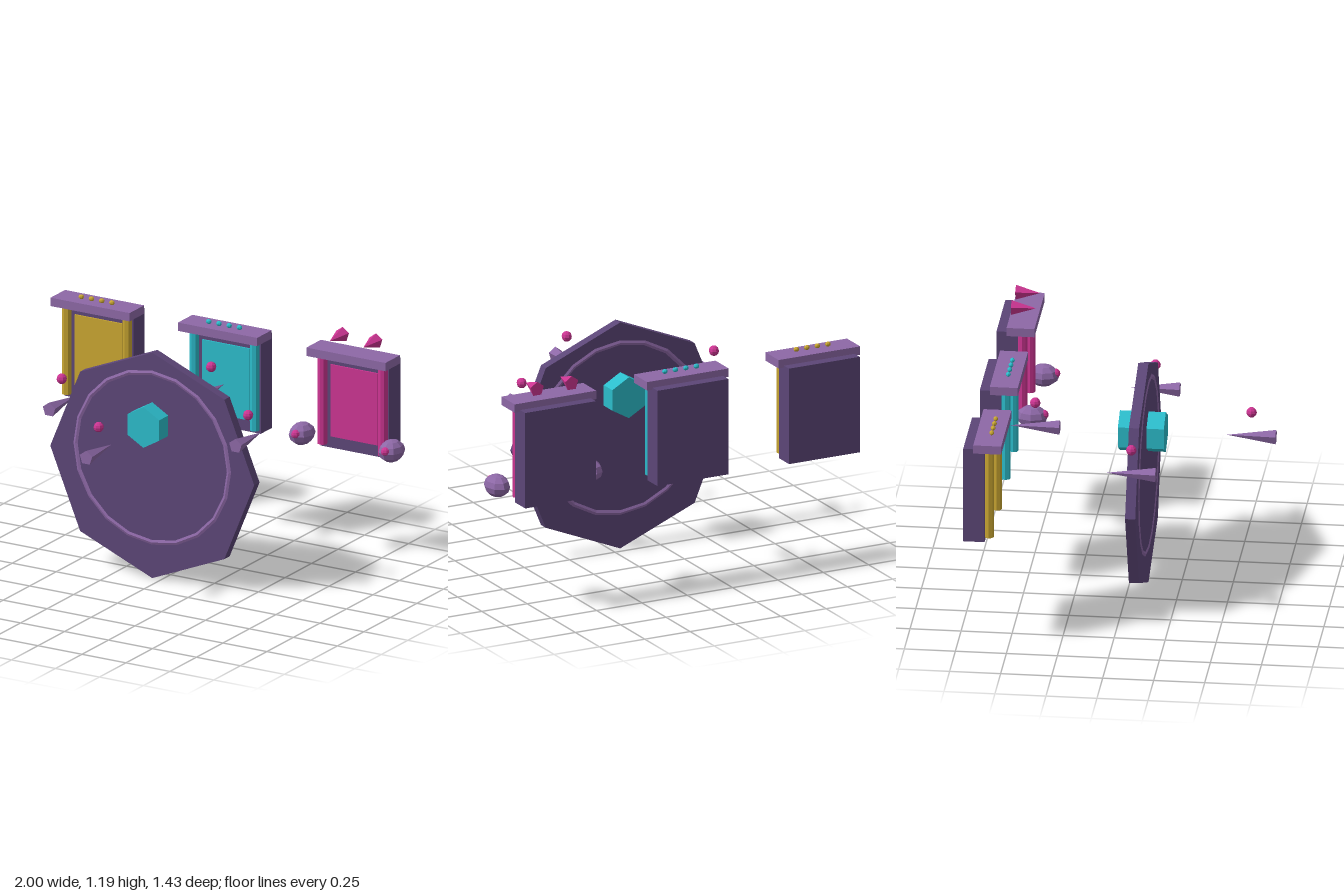
import * as THREE from 'three';

const mat = (name, color) => {
  const m = new THREE.MeshStandardMaterial({ color, flatShading: true });
  m.name = name;
  return m;
};

export function createModel() {
  const dark = mat('dark purple', 0x5c4677);
  const light = mat('light purple', 0x8d68a6);
  const cyan = mat('cyan', 0x2cbccb);
  const magenta = mat('magenta', 0xcc3592);
  const gold = mat('gold', 0xc9a632);

  const model = new THREE.Group();
  model.name = 'portalArena';
  const add = (parent, name, geometry, material, x, y, z) => {
    const mesh = new THREE.Mesh(geometry, material);
    mesh.name = name;
    mesh.position.set(x, y, z);
    parent.add(mesh);
    return mesh;
  };
  const cx = -0.05, cz = 0.065;

  // Upright octagonal disc with inlaid ring and hexagonal core
  add(model, 'disc', new THREE.CylinderGeometry(0.58, 0.58, 0.05, 8).rotateX(Math.PI / 2), dark, cx, 0.583, cz);
  add(model, 'discRing', new THREE.TorusGeometry(0.436, 0.03, 8, 20), light, cx, 0.623, cz);
  add(model, 'core', new THREE.CylinderGeometry(0.105, 0.105, 0.225, 6).rotateX(Math.PI / 2), cyan, cx, 0.803, 0.0625);

  // Four spikes around the disc, each with a floating orb
  const spike = new THREE.ConeGeometry(0.037, 0.24, 5).rotateX(-Math.PI / 2);
  const orb = new THREE.SphereGeometry(0.026, 8, 6);
  for (let i = 0; i < 4; i++) {
    const a = i * Math.PI / 2;
    const x = cx + 0.53 * Math.cos(a), z = cz + 0.53 * Math.sin(a);
    add(model, 'spike', spike, light, x, 0.803, z);
    add(model, 'orb', orb, magenta, x, 0.928, z);
  }

  // Three gates: slab, coloured panel, columns and lintel
  const slab = new THREE.BoxGeometry(0.39, 0.49, 0.105);
  const panel = new THREE.BoxGeometry(0.27, 0.37, 0.009);
  const column = new THREE.CylinderGeometry(0.024, 0.024, 0.46, 8);
  const lintel = new THREE.BoxGeometry(0.45, 0.043, 0.137);
  const makeGate = (name, x, accent) => {
    const gate = new THREE.Group();
    gate.name = name;
    gate.position.x = x;
    add(gate, 'slab', slab, dark, 0, 0.82, -0.6625);
    add(gate, 'panel', panel, accent, 0, 0.82, -0.6065);
    for (const s of [-1, 1]) add(gate, 'column', column, accent, s * 0.172, 0.826, -0.59);
    add(gate, 'lintel', lintel, light, 0, 1.077, -0.594);
    model.add(gate);
    return gate;
  };
  const goldGate = makeGate('goldGate', -0.775, gold);
  const cyanGate = makeGate('cyanGate', cx, cyan);
  const magentaGate = makeGate('magentaGate', 0.68, magenta);

  // Rows of beads on two lintels
  const bead = new THREE.SphereGeometry(0.015, 8, 6).scale(1, 0.8, 0.8);
  for (const [gate, m] of [[goldGate, gold], [cyanGate, cyan]])
    for (let i = 0; i < 4; i++) add(gate, 'bead', bead, m, (i - 1.5) * 0.058, 1.11, -0.587);

  // Horns and flanking balls of the magenta gate
  const horn = new THREE.ConeGeometry(0.038, 0.12, 5).rotateY(Math.PI).rotateX(Math.PI / 2);
  const ball = new THREE.SphereGeometry(0.06, 8, 6).scale(1.02, 0.93, 1.3);
  const eye = new THREE.SphereGeometry(0.023, 8, 6);
  for (const s of [-1, 1]) {
    add(magentaGate, 'horn', horn, magenta, s * 0.095, 1.153, -0.592);
    add(magentaGate, 'ball', ball, light, s * 0.255, 0.65, -0.535);
    add(magentaGate, 'ballEye', eye, magenta, s * 0.255, 0.662, -0.475);
  }
  return model;
}
